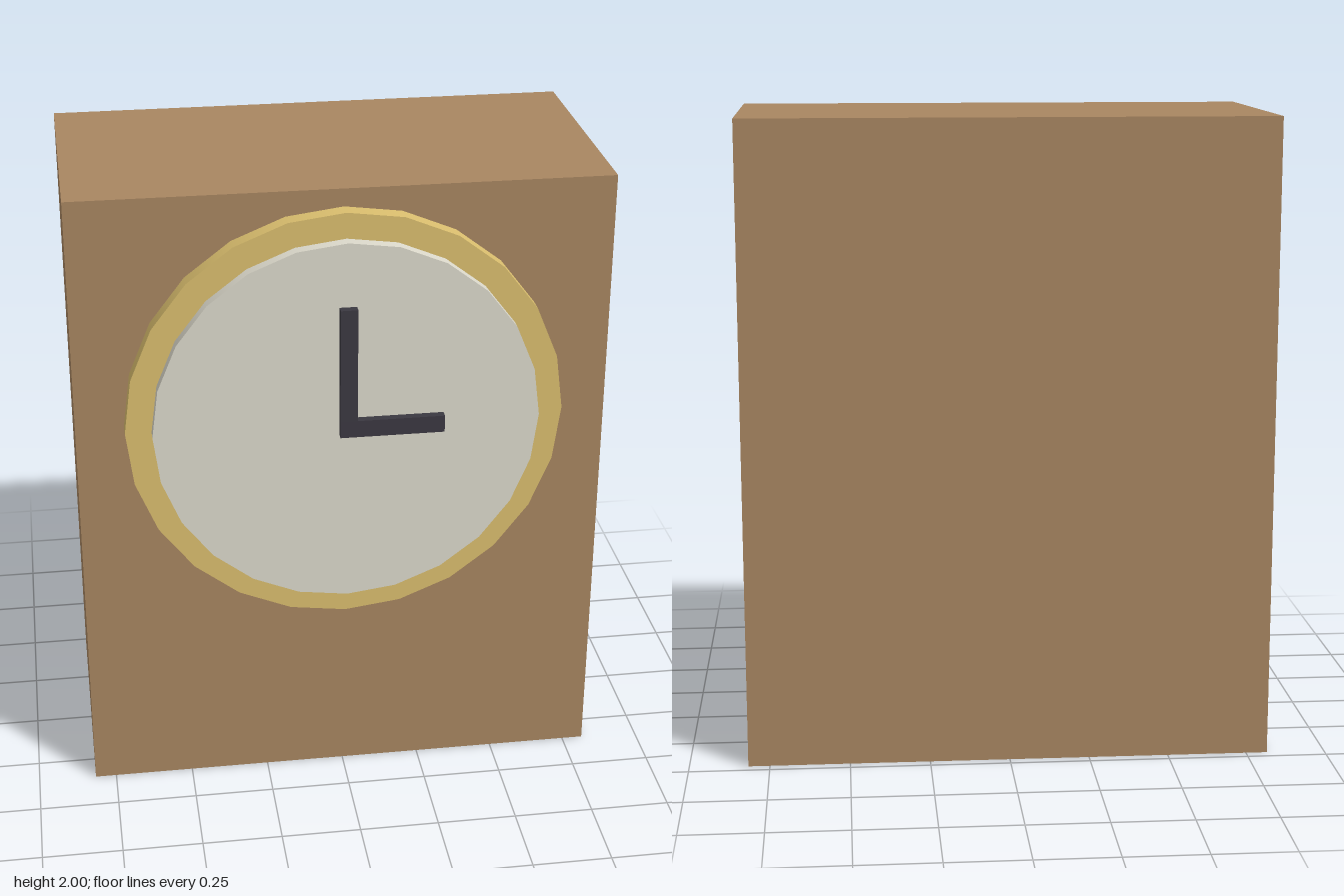
import * as THREE from 'three';

const paint = (name, color) => Object.assign(new THREE.MeshStandardMaterial({ color }), { name });

export function createModel() {
  const clock = new THREE.Group();
  clock.name = 'mantelClock';
  const wood = paint('wood brown', 0xa88661);
  const brass = paint('brass gold', 0xdabe6e);
  const ivory = paint('ivory', 0xdcd9cb);
  const dark = paint('dark hands', 0x3b3841);
  const dialY = 1.275;

  const add = (name, geometry, material, x, y, z) => {
    const mesh = new THREE.Mesh(geometry, material);
    mesh.name = name;
    mesh.position.set(x, y, z);
    clock.add(mesh);
  };
  // Block given by its limits on each axis
  const block = (name, material, [x0, x1], [y0, y1], [z0, z1]) =>
    add(name, new THREE.BoxGeometry(x1 - x0, y1 - y0, z1 - z0), material,
      (x0 + x1) / 2, (y0 + y1) / 2, (z0 + z1) / 2);
  // Round plate facing the front
  const disc = (name, material, radius, z0, z1) =>
    add(name, new THREE.CylinderGeometry(radius, radius, z1 - z0, 24).rotateX(Math.PI / 2),
      material, 0, dialY, (z0 + z1) / 2);

  // Case
  block('case', wood, [-0.817, 0.817], [0, 2], [-0.467, 0.35]);

  // Rim and dial, stacked on the front
  disc('rim', brass, 0.67, 0.35, 0.403);
  disc('dial', ivory, 0.59, 0.403, 0.441);

  // Hands, meeting at the dial centre
  block('minuteHand', dark, [-0.026, 0.026], [1.302, 1.664], [0.441, 0.467]);
  block('hourHand', dark, [-0.026, 0.293], [1.248, 1.302], [0.441, 0.467]);

  return clock;
}
